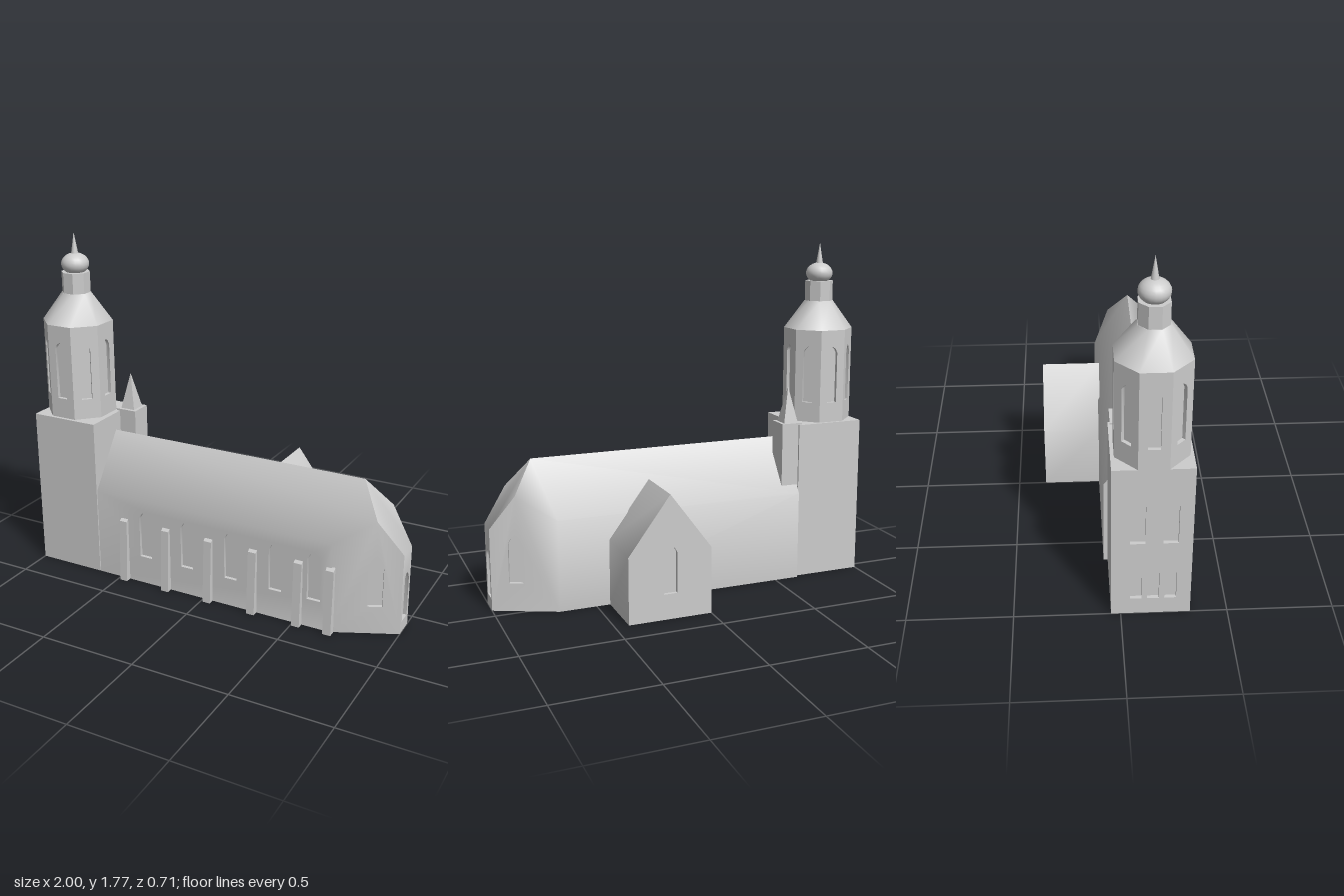
import * as THREE from 'three';
import { mergeGeometries, toCreasedNormals } from 'three/addons/utils/BufferGeometryUtils.js';

const stone = new THREE.MeshStandardMaterial({ color: 0xcccccc });
stone.name = 'stone';

const V = (x, y, z) => new THREE.Vector3(x, y, z);

// Flat convex polygon, corners counter-clockwise from outside
function poly(...pts) {
  const tris = [];
  for (let i = 1; i < pts.length - 1; i++) tris.push(pts[0], pts[i], pts[i + 1]);
  return new THREE.BufferGeometry().setFromPoints(tris);
}

// Keep only positions so every piece can be merged
function bare(geo) {
  const g = geo.index ? geo.toNonIndexed() : geo;
  g.deleteAttribute('uv');
  g.deleteAttribute('normal');
  return g;
}

// Merge pieces and smooth shallow edges; enlarged meanwhile for accurate corner matching
function part(name, geos, crease = 0.75) {
  let g = mergeGeometries(geos.map(bare));
  g.scale(100, 100, 100).translate(0.003, 0.003, 0.003);
  g = toCreasedNormals(g, crease);
  g.translate(-0.003, -0.003, -0.003).scale(0.01, 0.01, 0.01);
  const mesh = new THREE.Mesh(g, stone);
  mesh.name = name;
  return mesh;
}

// Pointed window outline
function lancet(u, y0, y1, w) {
  const s = y1 - 0.62 * w, m = s + 0.55 * (y1 - s);
  return [[-0.5, y0], [0.5, y0], [0.5, s], [0.32, m], [0, y1], [-0.32, m], [-0.5, s]]
    .map(([k, y]) => new THREE.Vector2(u + k * w, y));
}

// Upright wall from plan point a to b (left to right from outside) with recessed windows
function wall(a, b, outline, windows = [], depth = 0.018) {
  const shape = new THREE.Shape(outline.map(p => new THREE.Vector2(...p)));
  const geos = [];
  for (const w of windows) {
    const pts = lancet(...w);
    shape.holes.push(new THREE.Path(pts));
    geos.push(new THREE.ShapeGeometry(new THREE.Shape(pts)).translate(0, 0, -depth));
    pts.forEach((p, i) => {
      const q = pts[(i + 1) % pts.length];
      geos.push(poly(V(p.x, p.y, 0), V(q.x, q.y, 0), V(q.x, q.y, -depth), V(p.x, p.y, -depth)));
    });
  }
  geos.push(new THREE.ShapeGeometry(shape));
  const u = V(b[0] - a[0], 0, b[1] - a[1]).normalize();
  const up = V(0, 1, 0);
  const m = new THREE.Matrix4().makeBasis(u, up, u.clone().cross(up)).setPosition(a[0], 0, a[1]);
  return mergeGeometries(geos.map(bare)).applyMatrix4(m);
}

const rect = (w, y0, y1) => [[0, y0], [w, y0], [w, y1], [0, y1]];

// Eight-sided section with a flat side to the front, sized by its half width
const octagon = (top, bottom, y0, y1) => {
  const k = 1 / Math.cos(Math.PI / 8);
  return new THREE.CylinderGeometry(top * k, bottom * k, y1 - y0, 8, 1, false, Math.PI / 8)
    .translate(0, (y0 + y1) / 2, 0);
};

function buildNave() {
  const W = -0.63, E = 0.69, F = 0.325, B = -0.065, mid = 0.13;
  const eave = 0.47, ridge = 0.745, low = 0.421;
  const hip = V(0.8795, 0.5906, 0.2394);
  const flip = p => V(p.x, p.y, 2 * mid - p.z);
  const len = Math.hypot(1 - E, F - 0.185);
  const k = (hip.x - E) / (1 - E) * len;
  const slant = [[0, 0], [len, 0], [len, low], [k, hip.y], [0, eave]];
  const slantBack = slant.map(([u, y]) => [len - u, y]).reverse();
  const southWindows = [-0.34, -0.095, 0.155, 0.4, 0.605].map(x => [x - W, 0.15, 0.41, 0.07]);
  const westTop = V(W, ridge, mid), eastTop = V(0.77, ridge, mid);
  const slope = [westTop, V(W, eave, F), V(E, eave, F), hip, eastTop];
  const end = V(1, low, 0.185);
  const floor = [V(W, 0, F), V(W, 0, B), V(E, 0, B), V(1, 0, 0.075), V(1, 0, 0.185), V(E, 0, F)];
  return part('nave', [
    wall([W, F], [E, F], rect(E - W, 0, eave), southWindows),
    wall([E, F], [1, 0.185], slant, [[0.215, 0.145, 0.39, 0.07]]),
    wall([1, 0.185], [1, 0.075], rect(0.11, 0, low), [[0.055, 0.06, 0.31, 0.07]]),
    wall([1, 0.075], [E, B], slantBack, [[len - 0.215, 0.145, 0.39, 0.07]]),
    wall([E, B], [W, B], rect(E - W, 0, eave)),
    wall([W, B], [W, F], [[0, 0], [F - B, 0], [F - B, eave], [mid - B, ridge], [0, eave]]),
    poly(...slope),
    poly(...slope.map(flip).reverse()),
    poly(eastTop, hip, end, flip(end), flip(hip)),
    poly(...floor),
  ]);
}

function buildTransept() {
  const L = 0, R = 0.43, F = -0.055, B = -0.355, eave = 0.34, ridge = 0.63, mid = 0.215;
  const gable = [[0, 0], [R - L, 0], [R - L, eave], [mid, ridge], [0, eave]];
  return part('transept', [
    wall([R, B], [L, B], gable, [[mid, 0.13, 0.38, 0.07]]),
    wall([L, F], [R, F], gable),
    wall([L, B], [L, F], rect(F - B, 0, eave)),
    wall([R, F], [R, B], rect(F - B, 0, eave)),
    poly(V(L, eave, B), V(L, eave, F), V(mid, ridge, F), V(mid, ridge, B)),
    poly(V(R, eave, F), V(R, eave, B), V(mid, ridge, B), V(mid, ridge, F)),
    poly(V(L, 0, F), V(L, 0, B), V(R, 0, B), V(R, 0, F)),
  ]);
}

function buildTower() {
  const tower = new THREE.Group();
  tower.name = 'tower';
  const L = -1, R = -0.635, F = 0.325, B = -0.045, H = 0.835;

  // Square base with west windows
  const west = [0.12, 0.27].map(u => [u, 0.42, 0.675, 0.07]);
  const westLow = [0.115, 0.195, 0.275].map(u => [u, 0.09, 0.275, 0.055]);
  tower.add(part('towerBase', [
    wall([L, F], [R, F], rect(R - L, 0, H)),
    wall([R, F], [R, B], rect(F - B, 0, H)),
    wall([R, B], [L, B], rect(R - L, 0, H)),
    wall([L, B], [L, F], rect(F - B, 0, H), [...west, ...westLow]),
    poly(V(L, H, F), V(R, H, F), V(R, H, B), V(L, H, B)),
    poly(V(L, 0, B), V(R, 0, B), V(R, 0, F), V(L, 0, F)),
  ]));

  // Belfry with a window in each of the eight sides
  const r = 0.168, h = r * Math.tan(Math.PI / 8);
  const sides = [];
  for (let i = 0; i < 8; i++) {
    sides.push(wall([-h, r], [h, r], rect(2 * h, H, 1.325), [[h, 0.94, 1.24, 0.055]])
      .rotateY(i * Math.PI / 4));
  }
  const upper = new THREE.Group();
  upper.name = 'belfry';
  upper.position.set(-0.832, 0, 0.14);
  upper.add(
    part('belfryWalls', sides),
    part('belfryRoof', [octagon(0.07, r, 1.325, 1.47)]),
    part('lantern', [octagon(0.068, 0.068, 1.47, 1.575)]),
    part('dome', [new THREE.SphereGeometry(0.071, 20, 12).scale(1, 0.78, 1).translate(0, 1.615, 0)]),
    part('spire', [new THREE.ConeGeometry(0.02, 0.12, 12).translate(0, 1.715, 0)]),
  );
  tower.add(upper);
  return tower;
}

function buildTurret() {
  const turret = new THREE.Group();
  turret.name = 'stairTurret';
  turret.position.set(-0.598, 0, 0.022);
  turret.add(
    part('turretBody', [new THREE.BoxGeometry(0.115, 0.345, 0.115).translate(0, 0.6725, 0)]),
    part('turretSpire', [new THREE.ConeGeometry(0.04 * Math.SQRT2, 0.19, 4)
      .rotateY(Math.PI / 4).translate(0, 0.938, 0)]),
  );
  return turret;
}

function buildButtresses() {
  const group = new THREE.Group();
  group.name = 'buttresses';
  // Side profile leaning in towards the wall
  const profile = [[0.32, 0], [0.357, 0], [0.34, 0.335], [0.32, 0.35]];
  const shape = new THREE.Shape(profile.map(([z, y]) => new THREE.Vector2(-z, y)));
  for (const x of [-0.465, -0.215, 0.032, 0.28, 0.525, 0.69]) {
    const g = new THREE.ExtrudeGeometry(shape, { depth: 0.042, bevelEnabled: false });
    g.translate(0, 0, -0.021).rotateY(Math.PI / 2).translate(x, 0, 0);
    group.add(part('buttress', [g], 0.4));
  }
  return group;
}

export function createModel() {
  const church = new THREE.Group();
  church.name = 'church';
  church.add(buildNave(), buildTransept(), buildTower(), buildTurret(), buildButtresses());
  return church;
}
